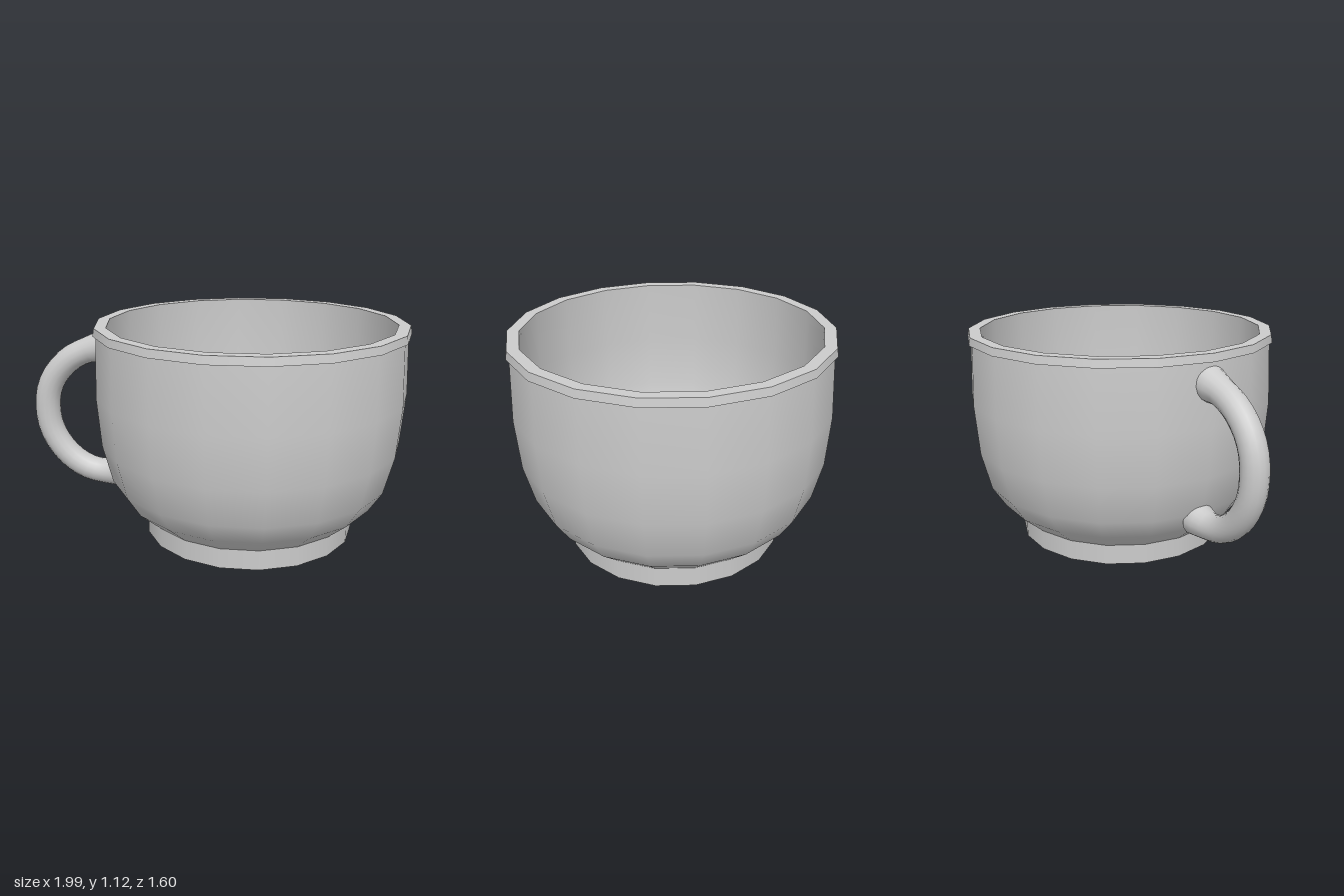
import * as THREE from 'three';

const SIDES = 18;
const CUP_X = 0.18;
const material = new THREE.MeshStandardMaterial({ color: 0xcccccc });

// Turned part around the cup axis; smooth along its own profile of [radius, y]
function turned(name, profile) {
  const points = profile.map(([r, y]) => new THREE.Vector2(r, y));
  const mesh = new THREE.Mesh(new THREE.LatheGeometry(points, SIDES, Math.PI / 2), material);
  mesh.name = name;
  mesh.position.x = CUP_X;
  return mesh;
}

// Round tube along a curve, with the radius widened near both ends
function flaredTube(curve, segments, radius, sides, flare) {
  const geometry = new THREE.TubeGeometry(curve, segments, radius, sides);
  const position = geometry.attributes.position;
  const v = new THREE.Vector3();
  for (let i = 0; i <= segments; i++) {
    const t = i / segments;
    const centre = curve.getPointAt(t);
    const scale = 1 + flare * Math.max(0, 1 - Math.min(t, 1 - t) / 0.09);
    for (let j = 0; j <= sides; j++) {
      const k = i * (sides + 1) + j;
      v.fromBufferAttribute(position, k).sub(centre).multiplyScalar(scale).add(centre);
      position.setXYZ(k, v.x, v.y, v.z);
    }
  }
  geometry.computeVertexNormals();
  // Share normals across the lengthwise seam
  const normal = geometry.attributes.normal;
  for (let i = 0; i <= segments; i++) {
    const a = i * (sides + 1), b = a + sides;
    v.fromBufferAttribute(normal, a);
    v.add(new THREE.Vector3().fromBufferAttribute(normal, b)).normalize();
    normal.setXYZ(a, v.x, v.y, v.z);
    normal.setXYZ(b, v.x, v.y, v.z);
  }
  return geometry;
}

export function createModel() {
  const group = new THREE.Group();
  group.name = 'cup';

  // Foot
  group.add(turned('footBase', [[0, 0], [0.56, 0]]));
  group.add(turned('footRing', [[0.56, 0], [0.56, 0.105]]));

  // Rounded outer wall
  group.add(turned('outerWall', [
    [0.56, 0.105], [0.67, 0.2], [0.74, 0.31], [0.79, 0.51], [0.81, 0.77], [0.797, 1.085],
  ]));

  // Rim band: underside, edge and flat top
  group.add(turned('rimUnderside', [[0.795, 1.085], [0.812, 1.085]]));
  group.add(turned('rimEdge', [[0.812, 1.085], [0.805, 1.125]]));
  group.add(turned('rimTop', [[0.805, 1.125], [0.745, 1.125]]));

  // Hollow inside
  group.add(turned('innerWall', [
    [0.745, 1.125], [0.75, 0.8], [0.73, 0.53], [0.68, 0.33], [0.62, 0.23], [0.54, 0.15],
  ]));
  group.add(turned('innerFloor', [[0.54, 0.15], [0.025, 0.15], [0, 0.15]]));

  // Handle, from the upper joint round to the lower one
  const path = new THREE.CatmullRomCurve3([
    [-0.595, 0.978], [-0.69, 0.955], [-0.79, 0.905], [-0.875, 0.82], [-0.92, 0.725], [-0.932, 0.62],
    [-0.92, 0.52], [-0.88, 0.43], [-0.81, 0.345], [-0.72, 0.288], [-0.63, 0.268], [-0.53, 0.275],
  ].map(([x, y]) => new THREE.Vector3(x, y, 0)));
  const handle = new THREE.Mesh(flaredTube(path, 24, 0.068, 16, 0.3), material);
  handle.name = 'handle';
  group.add(handle);

  return group;
}
